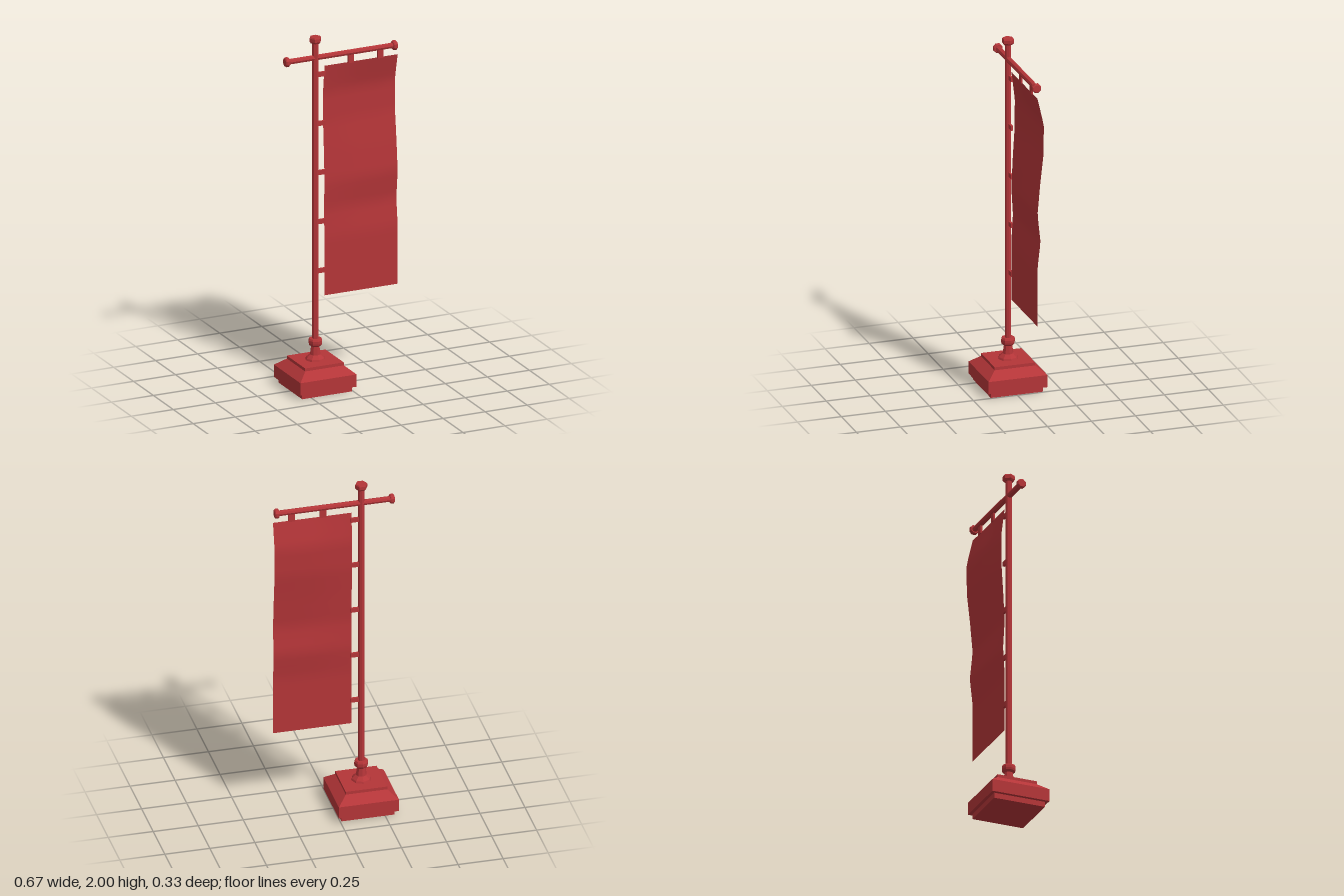
import * as THREE from 'three';

const POLE_X = -0.155;
const red = new THREE.MeshStandardMaterial({ color: 0xb43538, flatShading: true });
const cloth = new THREE.MeshStandardMaterial({ color: 0xb43538, side: THREE.DoubleSide });

function part(name, geometry, x = 0, y = 0, z = 0, material = red) {
  const mesh = new THREE.Mesh(geometry, material);
  mesh.name = name;
  mesh.position.set(x, y, z);
  return mesh;
}

// Faceted solid of revolution from [radius, height] pairs, bottom to top
function turned(profile, sides, turn = 0) {
  const points = profile.map(([r, y]) => new THREE.Vector2(r, y));
  return new THREE.LatheGeometry(points, sides).rotateY(turn);
}

// Piecewise linear lookup in [y, z] pairs ordered from top to bottom
function sample(curve, y) {
  for (let i = 1; i < curve.length; i++) {
    const [y0, z0] = curve[i - 1], [y1, z1] = curve[i];
    if (y >= y1) return z0 + (z1 - z0) * (y0 - y) / (y0 - y1);
  }
  return curve[curve.length - 1][1];
}

function bannerGeometry() {
  const left = -0.1, right = 0.335, top = 1.825, bottom = 0.515;
  const geo = new THREE.PlaneGeometry(right - left, top - bottom, 4, 32);
  geo.translate((left + right) / 2, (top + bottom) / 2, 0);
  // Backward billow, fuller towards the free edge
  const billow = [[1.825, 0], [1.67, -0.036], [1.5, -0.034], [1.34, -0.016],
    [1.16, 0], [1.0, -0.017], [0.85, 0], [0.515, 0]];
  const pos = geo.attributes.position;
  for (let i = 0; i < pos.count; i++) {
    const across = Math.min(1, (pos.getX(i) - left) / 0.22);
    pos.setZ(i, sample(billow, pos.getY(i)) * (0.55 + 0.45 * across));
  }
  geo.computeVertexNormals();
  return geo;
}

export function createModel() {
  const model = new THREE.Group();
  model.name = 'bannerStand';

  // Stepped square base with sloped shoulders
  const d = Math.SQRT2;
  const base = turned([[0, 0], [0.148 * d, 0], [0.148 * d, 0.03], [0.167 * d, 0.03],
    [0.167 * d, 0.1], [0.115 * d, 0.143], [0.115 * d, 0.16], [0, 0.16]], 4, Math.PI / 4);
  model.add(part('base', base, POLE_X));

  // Flared foot and collar holding the pole
  model.add(part('poleSocket', turned([[0.056, 0.16], [0.052, 0.17], [0.03, 0.19],
    [0.024, 0.235], [0.036, 0.245], [0.039, 0.255], [0.039, 0.27], [0.034, 0.28], [0, 0.28]], 8), POLE_X));

  // Pole and hexagonal finial
  model.add(part('pole', new THREE.CylinderGeometry(0.018, 0.018, 1.82, 8), POLE_X, 1.07));
  model.add(part('finial', turned([[0, 1.965], [0.027, 1.965], [0.034, 1.975],
    [0.034, 1.993], [0.03, 2], [0, 2]], 6, Math.PI / 6), POLE_X));

  // Crossbar with end caps
  const barY = 1.88;
  const bar = new THREE.CylinderGeometry(0.016, 0.016, 0.64, 8).rotateZ(Math.PI / 2);
  model.add(part('crossbar', bar, -0.005, barY));
  const cap = [[0, 0], [0.023, 0], [0.027, 0.005], [0.027, 0.02], [0.021, 0.025], [0, 0.025]];
  for (const [name, x, side] of [['rightCap', -0.313, 1], ['leftCap', 0.303, -1]]) {
    model.add(part(name, turned(cap, 8, Math.PI / 8).rotateZ(side * Math.PI / 2), x, barY));
  }

  // Cloth banner
  model.add(part('banner', bannerGeometry(), 0, 0, 0, cloth));

  // Loops tying the banner to the pole and the crossbar
  for (let i = 0; i < 5; i++) {
    model.add(part('poleTab', new THREE.BoxGeometry(0.05, 0.026, 0.012), -0.12, 1.78 - i * 0.28, -0.003));
  }
  for (const x of [0.057, 0.232]) {
    model.add(part('barTab', new THREE.BoxGeometry(0.034, 0.055, 0.01), x, 1.847, 0));
  }
  return model;
}
